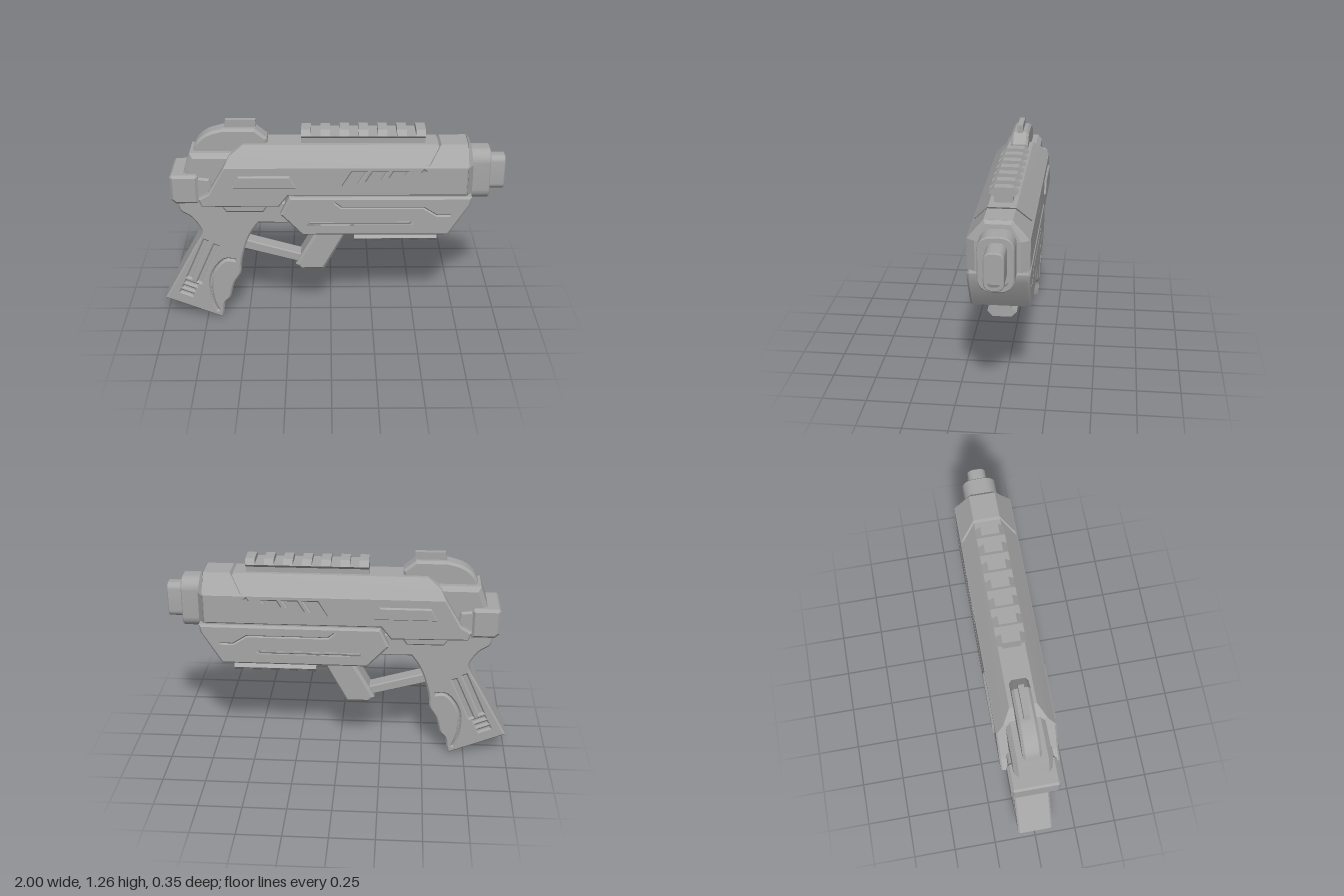
import * as THREE from 'three';
import { toCreasedNormals } from 'three/addons/utils/BufferGeometryUtils.js';
import { ConvexGeometry } from 'three/addons/geometries/ConvexGeometry.js';

const grey = new THREE.MeshStandardMaterial({ color: 0xa6a6a6 });
grey.name = 'grey plastic';

const V = (pts) => pts.map(([x, y]) => new THREE.Vector2(x, y));
const curve = (pts, n = 24) => new THREE.SplineCurve(V(pts)).getPoints(n).map((p) => [p.x, p.y]);

export function createModel() {
  const model = new THREE.Group();

  function add(name, geo, parent = model) {
    const mesh = new THREE.Mesh(geo, grey);
    mesh.name = name;
    parent.add(mesh);
    return mesh;
  }

  // Side profile extruded symmetrically to z = +-h, with bevelled rim and holes
  function profile(pts, h, b = 0, holes = []) {
    const shape = new THREE.Shape(V(pts));
    shape.holes = holes.map((p) => new THREE.Path(V(p)));
    const geo = new THREE.ExtrudeGeometry(shape, {
      depth: 2 * (h - b), bevelEnabled: b > 0, bevelThickness: b,
      bevelSize: b, bevelOffset: -b, bevelSegments: 1,
    });
    return toCreasedNormals(geo.translate(0, 0, b - h), 0.45);
  }

  // Profile whose holes are filled up to a given depth, giving recesses on both sides
  function recessed(name, pts, h, b, holes, depth) {
    add(name, profile(pts, h, b, holes));
    holes.forEach((p) => add(name + 'RecessFloor', profile(p, h - depth)));
  }

  // Thin closed outline following a line, used for panel grooves
  function groove(pts, w = 0.006) {
    const a = [], c = [];
    pts.forEach((p, i) => {
      const q = pts[Math.max(i - 1, 0)], r = pts[Math.min(i + 1, pts.length - 1)];
      const dx = r[0] - q[0], dy = r[1] - q[1], l = Math.hypot(dx, dy);
      a.push([p[0] - dy / l * w, p[1] + dx / l * w]);
      c.unshift([p[0] + dy / l * w, p[1] - dx / l * w]);
    });
    return [...a, ...c];
  }

  // Cross-section in (z, y) extruded from x0 to x1
  function prism(shape, x0, x1, b = 0) {
    const geo = new THREE.ExtrudeGeometry(shape, {
      depth: x1 - x0 - 2 * b, bevelEnabled: b > 0, bevelThickness: b,
      bevelSize: b, bevelOffset: -b, bevelSegments: 1, curveSegments: 8,
    });
    return toCreasedNormals(geo.rotateY(Math.PI / 2).translate(x0 + b, 0, 0), 0.45);
  }

  // Convex block from points mirrored across z
  const hull = (pts) => new ConvexGeometry(pts.flatMap(([x, y, z]) =>
    [new THREE.Vector3(x, y, z), new THREE.Vector3(x, y, -z)]));

  // Upper body sides with vents and a slanted groove
  const vents = [0, 1, 2].map((i) => [[0.118, 1.005], [0.198, 1.005], [0.138, 0.908], [0.058, 0.908]]
    .map(([x, y]) => [x + i * 0.118, y]));
  recessed('upperBody', [[-0.757, 0.838], [-0.74, 0.79], [-0.3, 0.785], [-0.243, 0.858],
    [0.777, 0.858], [0.777, 1.04], [-0.6, 1.04], [-0.7, 0.87]], 0.165, 0.009,
  [...vents, groove([[0.44, 0.882], [0.53, 1.012]])], 0.03);

  // Chamfered roof in two parts with a slanted gap, and the nose
  add('roof', hull([[-0.605, 1.03, 0.165], [-0.575, 1.085, 0.12], [-0.5, 1.137, 0.075],
    [0.532, 1.03, 0.165], [0.606, 1.137, 0.075]]));
  add('frontRoof', hull([[0.55, 1.03, 0.165], [0.624, 1.137, 0.075],
    [0.777, 1.03, 0.165], [0.777, 1.137, 0.075]]));
  add('roofCore', hull([[-0.4, 1.03, 0.15], [-0.4, 1.122, 0.07], [0.7, 1.03, 0.15], [0.7, 1.122, 0.07]]));
  add('nose', hull([[0.775, 0.86, 0.165], [0.775, 1.03, 0.165], [0.78, 1.137, 0.075],
    [0.807, 0.86, 0.12], [0.807, 1.03, 0.12], [0.797, 1.12, 0.065]]));

  // Raised side frame with two openings
  add('sideFrame', profile([[-0.526, 0.985], [-0.232, 0.985], [-0.195, 0.91], [-0.56, 0.91]], 0.176, 0.008, [
    [[-0.5, 0.962], [-0.325, 0.962], [-0.325, 0.933], [-0.515, 0.933]],
    [[-0.3, 0.962], [-0.25, 0.962], [-0.235, 0.933], [-0.3, 0.933]]]));
  add('sideFrameBar', profile([[-0.48, 0.955], [-0.34, 0.955], [-0.34, 0.94], [-0.48, 0.94]], 0.172));

  // Lower body with long slot and cover groove
  add('bodySeam', new THREE.BoxGeometry(0.98, 0.1, 0.29).translate(0.28, 0.85, 0));
  recessed('lowerBody', [[-0.29, 0.736], [-0.238, 0.846], [0.805, 0.846], [0.8, 0.8],
    [0.68, 0.605], [-0.167, 0.605]], 0.165, 0.012, [
    [[-0.15, 0.706], [0.49, 0.706], [0.49, 0.675], [0.47, 0.658], [-0.15, 0.658]],
    groove([[0.012, 0.822], [0.06, 0.783], [0.53, 0.783], [0.61, 0.732], [0.7, 0.732]], 0.005)], 0.035);
  add('slotBar', profile([[-0.13, 0.694], [0.47, 0.694], [0.455, 0.67], [-0.13, 0.67]], 0.155, 0.008));

  // Grip with finger waves, slots and a curved panel line
  const slots = [
    [[-0.745, 0.543], [-0.723, 0.533], [-0.833, 0.285], [-0.856, 0.294]],
    [[-0.687, 0.511], [-0.665, 0.501], [-0.775, 0.253], [-0.798, 0.262]],
    ...[0, 1, 2].map((i) => [[-0.866, 0.267], [-0.8, 0.239], [-0.804, 0.229], [-0.87, 0.257]]
      .map(([x, y]) => [x - i * 0.016, y - i * 0.033]))];
  recessed('grip', [
    ...curve([[-0.885, 0.8], [-0.87, 0.736], [-0.81, 0.693], [-0.762, 0.62], [-0.762, 0.57], [-0.805, 0.495]]),
    [-0.997, 0.147],
    ...curve([[-0.66, 0.008], [-0.65, 0.045], [-0.639, 0.11], [-0.607, 0.147], [-0.59, 0.21], [-0.575, 0.254],
      [-0.537, 0.318], [-0.532, 0.377], [-0.52, 0.44], [-0.494, 0.527], [-0.462, 0.597], [-0.42, 0.656]], 44),
    [-0.178, 0.656], [-0.258, 0.79]], 0.105, 0.01,
  [...slots, groove(curve([[-0.57, 0.408], [-0.63, 0.41], [-0.69, 0.345], [-0.718, 0.26],
    [-0.712, 0.14], [-0.685, 0.06]], 14), 0.003)], 0.02);
  add('gripCollar', profile([[-0.64, 0.81], [-0.355, 0.81], [-0.355, 0.78], [-0.39, 0.73],
    [-0.605, 0.73], [-0.64, 0.78]], 0.116, 0.01));

  // Front strut and the bar of the trigger guard
  add('strut', profile([[-0.06, 0.62], [0.115, 0.62], [-0.04, 0.325], [-0.178, 0.325],
    [-0.208, 0.355], [-0.178, 0.418], [-0.09, 0.57]], 0.075, 0.016));
  add('guardBar', profile([[-0.52, 0.518], [-0.16, 0.413], [-0.17, 0.358], [-0.54, 0.462]], 0.045, 0.006));

  // Rear housing, end block, dome and sight
  add('rearHousing', profile([[-0.885, 0.8], [-0.85, 0.95], [-0.8, 1.092], [-0.45, 1.092], [-0.45, 0.8]], 0.108, 0.025));
  add('rearBlock', profile([[-0.917, 0.82], [-0.917, 0.96], [-0.905, 0.972], [-0.765, 0.972],
    [-0.755, 0.96], [-0.755, 0.795], [-0.89, 0.795]], 0.138, 0.016));
  add('rearBracket', profile([[-0.77, 0.8], [-0.77, 0.955], [-0.69, 0.945], [-0.66, 0.8]], 0.125, 0.01));
  add('dome', profile([...curve([[-0.79, 1.07], [-0.765, 1.14], [-0.7, 1.195], [-0.61, 1.222]], 10),
    [-0.43, 1.222], [-0.36, 1.165], [-0.36, 1.07]], 0.052, 0.014));
  add('rearSight', profile([[-0.61, 1.2], [-0.595, 1.265], [-0.425, 1.265], [-0.425, 1.2]], 0.016));

  // Toothed rails above and below
  function rail(name, count) {
    const group = new THREE.Group(), pitch = 0.108, tooth = 0.054;
    group.name = name;
    const half = (pts) => new THREE.Shape(V([...pts, ...pts.map(([x, y]) => [-x, y]).reverse()]));
    add(name + 'Base', prism(half([[0.05, -0.02], [0.05, 0.03], [0.08, 0.053]]), 0, pitch * (count - 1) + tooth), group);
    for (let i = 0; i < count; i++) {
      add(name + 'Tooth', prism(half([[0.08, 0.053], [0.05, 0.083]]), i * pitch, i * pitch + tooth), group);
    }
    model.add(group);
    return group;
  }
  rail('topRail', 7).position.set(-0.167, 1.137, 0);
  const under = rail('bottomRail', 5);
  under.position.set(0.138, 0.593, 0);
  under.rotation.x = Math.PI;

  // Muzzle: two nested tubes with rounded rectangular section
  function rounded(w, y0, y1, r, Type = THREE.Shape) {
    const s = new Type();
    s.moveTo(-w, y0 + r).lineTo(-w, y1 - r);
    s.absarc(r - w, y1 - r, r, Math.PI, Math.PI / 2, true);
    s.absarc(w - r, y1 - r, r, Math.PI / 2, 0, true);
    s.absarc(w - r, y0 + r, r, 0, -Math.PI / 2, true);
    s.absarc(r - w, y0 + r, r, -Math.PI / 2, -Math.PI, true);
    return s;
  }
  function tube(name, x0, x1, outer, inner, floor) {
    const s = rounded(...outer);
    s.holes.push(rounded(...inner, THREE.Path));
    add(name, prism(s, x0, x1, 0.005));
    add(name + 'Floor', prism(rounded(...inner), x0, floor));
  }
  tube('muzzleSleeve', 0.79, 0.91, [0.096, 0.793, 1.097, 0.07], [0.074, 0.818, 1.072, 0.05], 0.87);
  tube('muzzleTip', 0.82, 1, [0.053, 0.843, 1.05, 0.038], [0.036, 0.862, 1.031, 0.024], 0.93);

  return model;
}
